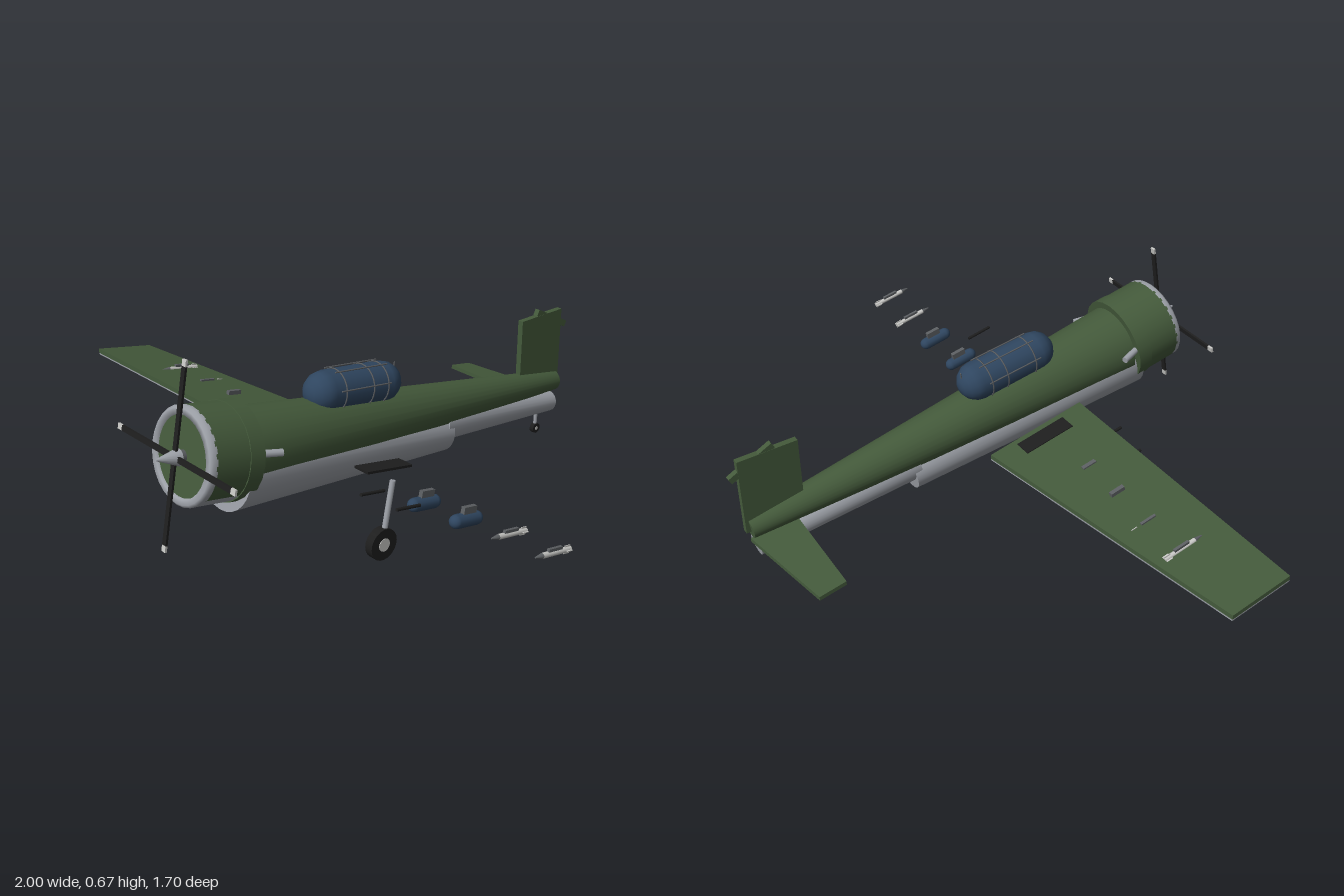
import * as THREE from 'three';

const mat = (name, color, extra = {}) => {
  const m = new THREE.MeshStandardMaterial({ color, ...extra });
  m.name = name;
  return m;
};

export function createModel() {
  const green = mat('olive green', 0x445a3b);
  const grey = mat('belly grey', 0x9da1a8);
  const blue = mat('dark blue', 0x2f4660);
  const black = mat('black', 0x1e1e1e);
  const pale = mat('pale grey', 0xc9c9c6);
  const dark = mat('dark grey', 0x5c5f62);

  const root = new THREE.Group();
  root.name = 'aircraft';
  const CX = 0.133; // centre line of the aircraft
  const PITCH = 0.19; // nose-up attitude

  const add = (name, geo, m, parent = root, pos = [0, 0, 0]) => {
    const mesh = new THREE.Mesh(geo, m);
    mesh.name = name;
    mesh.position.set(...pos);
    parent.add(mesh);
    return mesh;
  };
  const group = (name, x, y, z, pitch = 0, parent = root) => {
    const g = new THREE.Group();
    g.name = name;
    g.position.set(x, y, z);
    g.rotation.x = -pitch;
    parent.add(g);
    return g;
  };
  // Tapered round bar from point a to point b
  const rod = (name, m, a, b, ra, rb = ra, seg = 10, parent = root) => {
    const p = new THREE.Vector3(...a), q = new THREE.Vector3(...b);
    const d = q.clone().sub(p);
    const mesh = add(name, new THREE.CylinderGeometry(rb, ra, d.length(), seg), m, parent);
    mesh.position.copy(p.add(q).multiplyScalar(0.5));
    mesh.quaternion.setFromUnitVectors(new THREE.Vector3(0, 1, 0), d.normalize());
    return mesh;
  };
  // Flat slab: outline in (x, z), height follows y = y0 + slope * z at its top
  const slab = (name, m, outline, thick, y0, slope) => {
    const shape = new THREE.Shape(outline.map(([x, z]) => new THREE.Vector2(x, -z)));
    const geo = new THREE.ExtrudeGeometry(shape, { depth: thick, bevelEnabled: false });
    geo.rotateX(-Math.PI / 2);
    const p = geo.attributes.position;
    for (let i = 0; i < p.count; i++) p.setY(i, p.getY(i) - thick + y0 + slope * p.getZ(i));
    geo.computeVertexNormals();
    return add(name, geo, m);
  };

  // Fuselage: green upper cone over two grey belly cones
  rod('upperFuselage', green, [CX, 0.18, -0.8], [CX, 0.354, 0.59], 0.036, 0.126, 28);
  rod('bellyFront', grey, [CX, 0.158, -0.24], [CX, 0.309, 0.63], 0.068, 0.126, 28);
  rod('bellyRear', grey, [CX, 0.104, -0.785], [CX, 0.192, -0.22], 0.036, 0.064, 24);

  // Engine cowl, its axis along local z
  const cowl = group('cowl', CX, 0.392, 0.772, PITCH);
  const arc = (r, len, start, sweep, seg, open) =>
    new THREE.CylinderGeometry(r, r, len, seg, 1, open, start, sweep).rotateX(Math.PI / 2);
  const half = 0.87;
  add('cowlUpper', arc(0.144, 0.12, half, Math.PI * 2 - 2 * half, 18, true), green, cowl, [0, 0, -0.075]);
  add('cowlLower', arc(0.144, 0.12, -half, 2 * half, 7, true), grey, cowl, [0, 0, -0.075]);
  add('cowlRearBand', arc(0.147, 0.05, 0, Math.PI * 2, 24, false), green, cowl, [0, 0, -0.155]);
  const lip = [[0.144, -0.02], [0.144, -0.005], [0.136, 0.003], [0.119, 0.003], [0.116, -0.015]]
    .map(([r, y]) => new THREE.Vector2(r, y));
  add('cowlLip', new THREE.LatheGeometry(lip, 28).rotateX(Math.PI / 2), grey, cowl);
  add('cowlFace', new THREE.CircleGeometry(0.118, 28), green, cowl, [0, 0, -0.006]);

  // Propeller and spinner
  const prop = group('propeller', 0, 0, 0.022, 0, cowl);
  rod('propShaft', dark, [0, 0, -0.03], [0, 0, 0.002], 0.02, 0.02, 12, prop);
  rod('spinner', grey, [0, 0, -0.012], [0, 0, 0.06], 0.026, 0.003, 14, prop);
  for (let i = 0; i < 4; i++) {
    const blade = new THREE.Group();
    blade.name = 'propBlade';
    blade.rotation.z = i * Math.PI / 2;
    prop.add(blade);
    add('bladeBody', new THREE.BoxGeometry(0.017, 0.245, 0.007), black, blade, [0, 0.138, 0]);
    add('bladeTip', new THREE.BoxGeometry(0.017, 0.02, 0.007), pale, blade, [0, 0.27, 0]);
  }

  // Exhaust stubs behind the cowl
  for (const s of [-1, 1])
    rod('exhaust', grey, [CX + s * 0.143, 0.378, 0.53], [CX + s * 0.122, 0.388, 0.6], 0.011, 0.011, 10);

  // Canopy with frames
  const canopy = group('canopy', CX, 0.423, 0.143, 0.135);
  add('canopyGlass', new THREE.CapsuleGeometry(0.065, 0.23, 4, 16).rotateX(Math.PI / 2), blue, canopy);
  for (const z of [-0.09, -0.03, 0.08])
    add('canopyHoop', new THREE.TorusGeometry(0.066, 0.0025, 5, 24), dark, canopy, [0, 0, z]);
  for (const s of [-1, 1]) {
    rod('canopyRail', dark, [s * 0.064, 0.016, -0.1], [s * 0.064, 0.016, 0.1], 0.0025, 0.0025, 5, canopy);
    rod('canopyTopRail', dark, [s * 0.025, 0.064, -0.11], [s * 0.025, 0.064, 0.1], 0.0025, 0.0025, 5, canopy);
  }
  rod('antennaMast', dark, [CX, 0.37, -0.015], [CX, 0.457, -0.03], 0.006, 0.002, 6);

  // Single right wing with a grey underside
  const SLOPE = 0.195, WY = 0.198;
  const wing = [[0.003, 0], [0.003, 0.355], [-1, 0.35], [-1, 0.14]];
  slab('wing', green, wing, 0.016, WY, SLOPE);
  slab('wingUnderside', grey, wing, 0.005, WY - 0.016, SLOPE);

  // Single right tailplane
  slab('tailplane', green, [[0.13, -0.802], [0.13, -0.648], [-0.225, -0.66], [-0.225, -0.75]], 0.014, 0.284, 0.18);

  // Fin with a tilted fairing across its top
  add('fin', new THREE.BoxGeometry(0.02, 0.275, 0.2), green, root, [CX, 0.308, -0.715]);
  const fairing = group('finFairing', CX, 0.421, -0.768, 0.47);
  add('fairingBar', new THREE.BoxGeometry(0.018, 0.022, 0.165), green, fairing);

  // Tail wheel
  rod('tailStrut', grey, [CX, 0.022, -0.72], [CX, 0.1, -0.722], 0.006, 0.007, 8);
  rod('tailWheel', black, [CX - 0.008, 0.018, -0.72], [CX + 0.008, 0.018, -0.72], 0.018, 0.018, 14);
  rod('tailWheelHub', pale, [CX - 0.009, 0.018, -0.72], [CX + 0.009, 0.018, -0.72], 0.007, 0.007, 10);

  // Rocket with nose, fins and pylon
  const rocket = (x, y) => {
    const g = group('rocket', x, y, 0.198, PITCH);
    rod('rocketBody', pale, [0, 0, -0.07], [0, 0, 0.045], 0.008, 0.008, 10, g);
    rod('rocketNose', dark, [0, 0, 0.045], [0, 0, 0.072], 0.008, 0.002, 10, g);
    add('rocketFinFlat', new THREE.BoxGeometry(0.024, 0.002, 0.022), pale, g, [0, 0, -0.058]);
    add('rocketFinUpright', new THREE.BoxGeometry(0.002, 0.024, 0.022), pale, g, [0, 0, -0.058]);
    add('rocketPylon', new THREE.BoxGeometry(0.009, 0.014, 0.055), dark, g, [0, 0.008, -0.005]);
  };
  // Blue drop store hung from a pylon
  const store = (x, y, z) => {
    const g = group('store', x, y, z, PITCH);
    add('storeBody', new THREE.CapsuleGeometry(0.021, 0.08, 4, 12).rotateX(Math.PI / 2), blue, g);
    add('storePylon', new THREE.BoxGeometry(0.014, 0.03, 0.05), dark, g, [0, 0.025, -0.005]);
  };

  // Parts carried on both sides
  for (const s of [-1, 1]) {
    const X = (d) => CX + s * d;
    // Main gear
    rod('mainStrut', grey, [X(0.28), 0.055, 0.275], [X(0.28), 0.243, 0.237], 0.009, 0.009, 10);
    rod('mainWheel', black, [X(0.265), 0.051, 0.28], [X(0.293), 0.051, 0.28], 0.05, 0.05, 20);
    rod('mainWheelHub', pale, [X(0.263), 0.051, 0.28], [X(0.295), 0.051, 0.28], 0.021, 0.021, 14);
    // Walkway plate
    slab('walkway', black, [[X(0.18) - 0.029, 0.09], [X(0.18) - 0.029, 0.27], [X(0.18) + 0.029, 0.27],
      [X(0.18) + 0.029, 0.09]], 0.008, WY + 0.003, SLOPE);
    // Guns
    for (const [d, z] of [[0.312, 0.3], [0.437, 0.28]])
      rod('gun', black, [X(d), 0.186 + SLOPE * z, z], [X(d), 0.186 + SLOPE * (z + 0.09), z + 0.09], 0.005, 0.005, 8);
    // Under-wing loads
    store(X(0.387), 0.204, 0.214);
    store(X(0.543), 0.211, 0.204);
    rocket(X(0.697), 0.227);
    rocket(X(0.85), 0.236);
  }
  return root;
}
